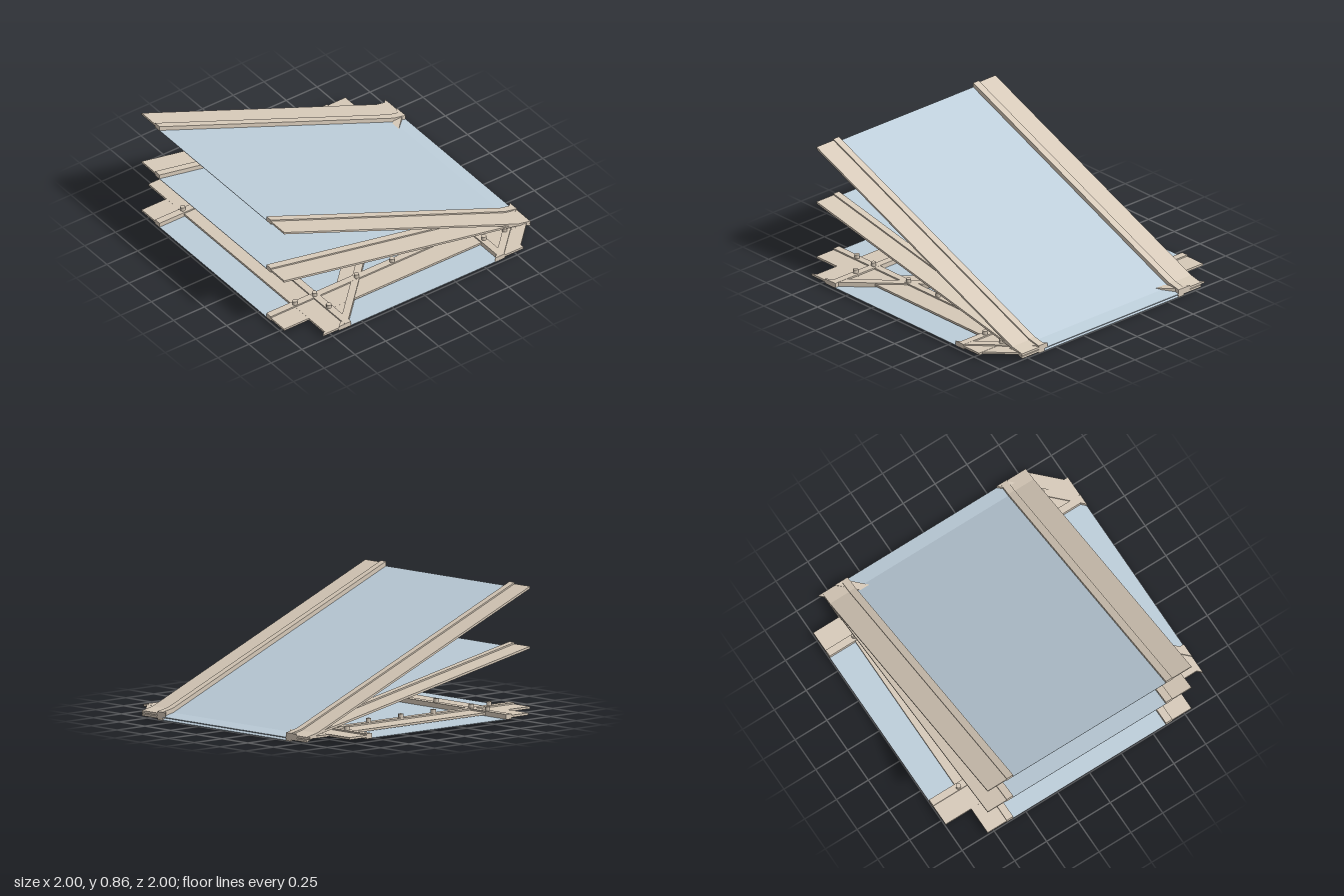
import * as THREE from 'three';

const beige = new THREE.MeshStandardMaterial({ color: 0xd6c9b8 });
beige.name = 'beige metal';
const blue = new THREE.MeshStandardMaterial({ color: 0xbccdd9 });
blue.name = 'pale blue panel';

// Flat plate from [x, z] corners between two heights
function plate(name, pts, y0, y1, mat) {
  const shape = new THREE.Shape(pts.map(([x, z]) => new THREE.Vector2(x, -z)));
  const geo = new THREE.ExtrudeGeometry(shape, { depth: y1 - y0, bevelEnabled: false });
  geo.rotateX(-Math.PI / 2).translate(0, y0, 0);
  const mesh = new THREE.Mesh(geo, mat);
  mesh.name = name;
  return mesh;
}

const rect = (x0, x1, z0, z1) => [[x0, z0], [x1, z0], [x1, z1], [x0, z1]];

// Straight L-section beam, its rib on the inner edge; side = +1 or -1
function beam(side, alongX, lower = 0) {
  const g = new THREE.Group();
  g.name = 'edgeBeam';
  const strip = (name, a, b, y0, y1) => {
    const lo = Math.min(side * a, side * b), hi = Math.max(side * a, side * b);
    g.add(plate(name, alongX ? rect(-1, 1, lo, hi) : rect(lo, hi, -1, 1), y0, y1 - lower, beige));
  };
  strip('rib', 0.6, 0.65, 0, 0.035);
  strip('flange', 0.65, 0.8, 0.01, 0.025);
  return g;
}

// 45 degree band where z - x lies between a and b, trimmed to the square outline
const band = (a, b) => [[-1 - b, -1], [-1 - a, -1], [1, 1 + a], [1, 1 + b]];

function diagonal(name, ribA, ribB, flangeA, flangeB) {
  const g = new THREE.Group();
  g.name = name;
  g.add(plate('rib', band(ribA, ribB), 0.0005, 0.034, beige));
  g.add(plate('flange', band(flangeA, flangeB), 0.0105, 0.024, beige));
  return g;
}

// Sloping panel with a beam along each side, sheared so its ends stay upright
function ramp(name, yBack, yFront) {
  const g = new THREE.Group();
  g.name = name;
  g.add(plate('rampPanel', rect(-0.6, 0.6, -1, 1), 0, 0.004, blue));
  for (const s of [-1, 1]) g.add(beam(s, false));
  g.traverse((o) => {
    if (!o.isMesh) return;
    const p = o.geometry.attributes.position;
    for (let i = 0; i < p.count; i++) {
      p.setY(i, p.getY(i) + yBack + (yFront - yBack) * (p.getZ(i) + 1) / 2);
    }
    o.geometry.computeVertexNormals();
  });
  return g;
}

export function createModel() {
  const model = new THREE.Group();
  model.name = 'rampFrame';

  // Base: cross-shaped panel, four crossing beams and two diagonals
  const base = new THREE.Group();
  base.name = 'base';
  base.position.y = 0.02;
  const cross = [
    [-0.6, -1], [0.6, -1], [0.6, -0.6], [1, -0.6], [1, 0.6], [0.6, 0.6],
    [0.6, 1], [-0.6, 1], [-0.6, 0.6], [-1, 0.6], [-1, -0.6], [-0.6, -0.6],
  ];
  base.add(plate('basePanel', cross, -0.001, 0.003, blue));
  for (const s of [-1, 1]) {
    base.add(beam(s, true), beam(s, false, 0.0005));
  }
  base.add(diagonal('longDiagonal', -0.37, -0.3, -0.3, -0.17));
  base.add(diagonal('cornerBrace', -1.64, -1.57, -1.77, -1.64));

  // Bolts along the beams, at the crossings and on the diagonals
  const spots = [[0.16, -0.16], [-0.17, -0.5], [0.5, 0.17], [0.795, -0.795]];
  for (const s of [-1, 1]) {
    for (const t of [-0.29, 0, 0.29]) spots.push([t, s * 0.63], [s * 0.63, t]);
    for (const r of [-1, 1]) {
      spots.push([s * 0.63, r * 0.63], [s * 0.79, r * 0.63], [s * 0.63, r * 0.79]);
    }
  }
  const boltGeo = new THREE.CylinderGeometry(0.017, 0.017, 0.063, 16);
  for (const [x, z] of spots) {
    const bolt = new THREE.Mesh(boltGeo, beige);
    bolt.name = 'bolt';
    bolt.position.set(x, 0.0295, z);
    base.add(bolt);
  }
  model.add(base);

  // Two ramps fanning out from the back edge
  model.add(ramp('lowerRamp', 0.02, 0.42));
  model.add(ramp('upperRamp', 0, 0.82));
  return model;
}
